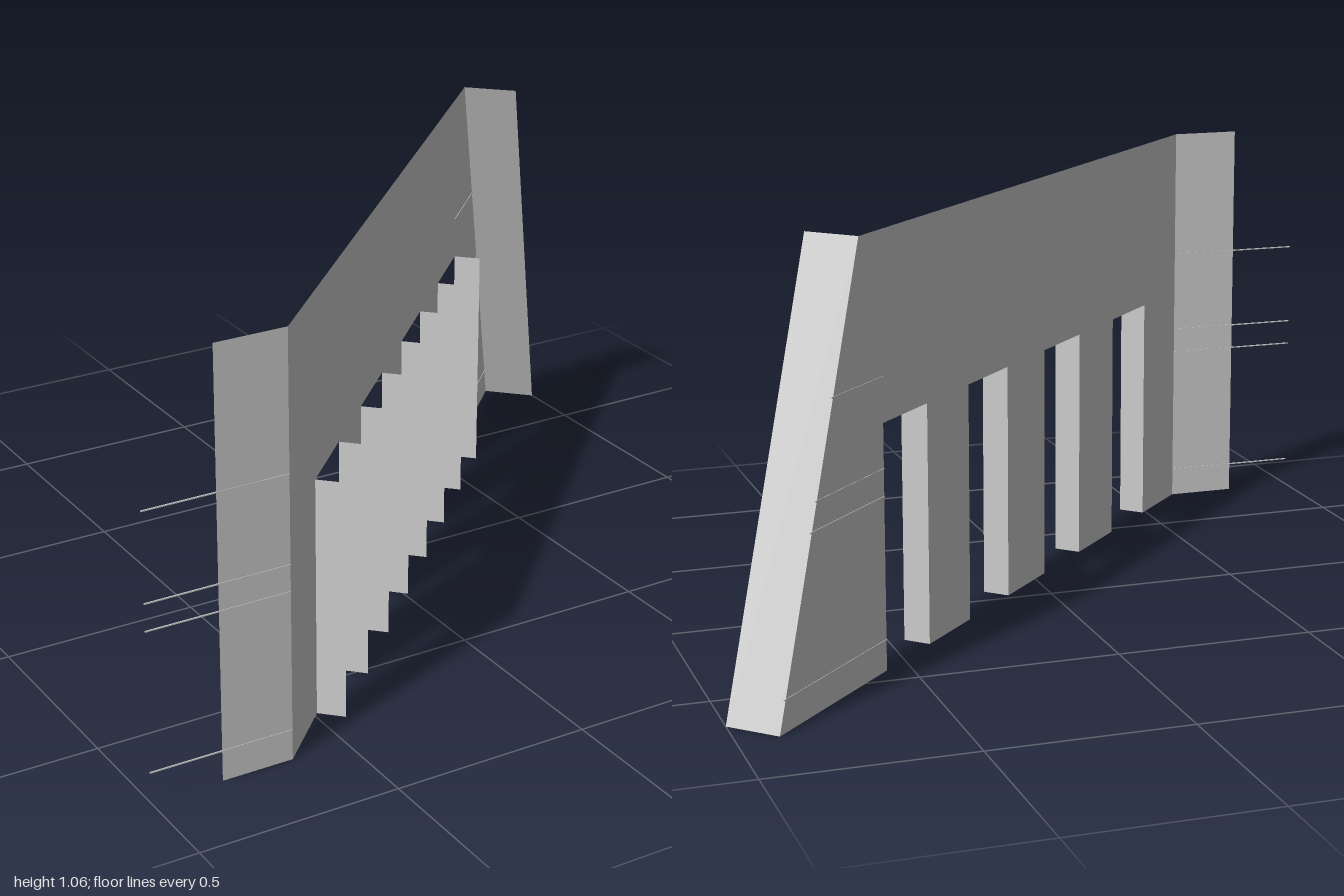
import * as THREE from 'three';

const R = Math.SQRT2;
const H = 1.06;        // panel height
const SILL = 0.605;    // top of the openings
const RODS = [0.715, 0.495, 0.428, 0.077];

export function createModel() {
  const model = new THREE.Group();
  const grey = new THREE.MeshStandardMaterial({ color: 0xcccccc, side: THREE.DoubleSide });
  grey.name = 'grey';

  const add = (parent, name, geometry, x = 0, y = 0, z = 0) => {
    const mesh = new THREE.Mesh(geometry, grey);
    mesh.name = name;
    mesh.position.set(x, y, z);
    parent.add(mesh);
    return mesh;
  };

  // Diagonal wall: local x runs along the panel, local z points out of its face
  const wall = new THREE.Group();
  wall.name = 'wall';
  wall.position.set(-0.64, 0, 0.77);
  wall.rotation.y = Math.PI / 4;
  model.add(wall);

  const bottomEnd = 1.54 * R, topEnd = 1.27 * R;
  const edges = [0, 1, 2, 3].map(i => [(0.15 + 0.3 * i) * R, (0.3 + 0.3 * i) * R]);

  // Thin panel with four openings cut up from the ground
  const outline = new THREE.Shape();
  outline.moveTo(0, 0);
  for (const [a, b] of edges) {
    outline.lineTo(a, 0);
    outline.lineTo(a, SILL);
    outline.lineTo(b, SILL);
    outline.lineTo(b, 0);
  }
  outline.lineTo(bottomEnd, 0);
  outline.lineTo(topEnd, H);
  outline.lineTo(0, H);
  add(wall, 'panel', new THREE.ShapeGeometry(outline));

  // Upright flanges on both sides of each opening
  const depth = 0.05 * R;
  for (const x of edges.flat()) {
    const flange = add(wall, 'openingFlange', new THREE.PlaneGeometry(depth, SILL), x, SILL / 2, depth / 2);
    flange.rotation.y = Math.PI / 2;
  }

  // Sloping flange along the slanted end
  const run = bottomEnd - topEnd;
  const slope = add(wall, 'slopedFlange', new THREE.PlaneGeometry(0.1 * R, Math.hypot(run, H)),
    (bottomEnd + topEnd) / 2, H / 2, 0.05 * R);
  slope.rotation.set(0, Math.PI / 2, Math.atan2(run, H), 'ZYX');

  // Return flap at the other end, facing the front
  add(model, 'endFlap', new THREE.PlaneGeometry(0.18, H), -0.73, H / 2, 0.77);

  // Hair-thin rods through the flap and through the slanted end
  for (const y of RODS) {
    add(model, 'flapRod', new THREE.BoxGeometry(0.36, 0.003, 0.003), -0.82, y, 0.77);
    const start = edges[3][1], end = bottomEnd - run * y / H + 0.008;
    add(wall, 'panelRod', new THREE.BoxGeometry(end - start, 0.003, 0.003), (start + end) / 2, y, 0);
  }
  return model;
}
